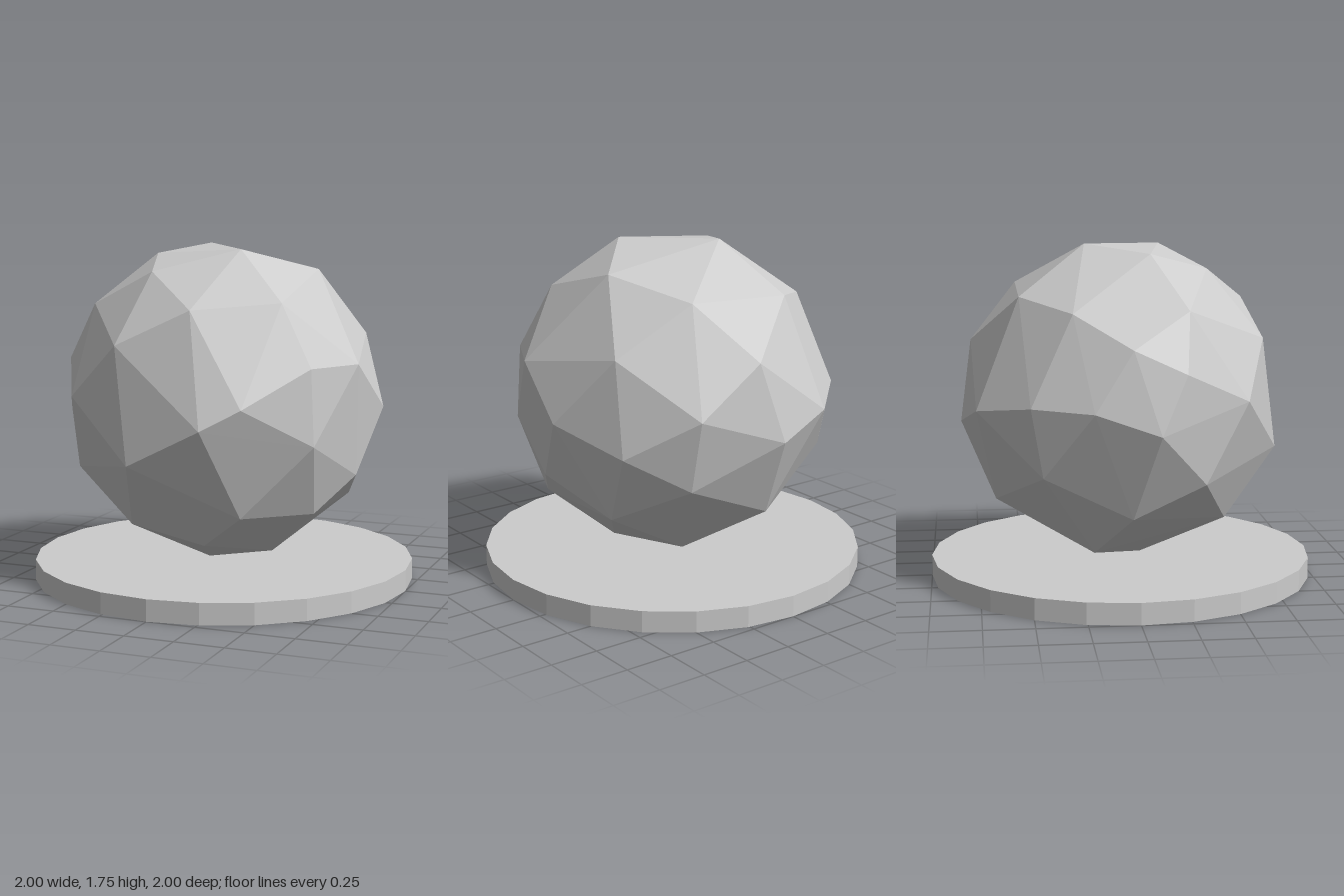
import * as THREE from 'three';
import { ConvexGeometry } from 'three/addons/geometries/ConvexGeometry.js';

// Corners of the faceted ball (x, y, z in hundredths), listed from the crown down
const CORNERS = [
  // crown
  18, 174, 22, -15, 175.5, -20, -32, 171, 12, 48, 163, -12, -22, 163, 42,
  // shoulder
  28, 153, -54, -30, 150, -54, 47, 149, 42, 8, 146, 65, -61, 145, 28, -60, 144, -29,
  // upper belt
  65, 128, -42, -77, 128, -1, -30, 128, 70, 5, 125, -78, 79, 118, 18, 64, 118, 47, -77, 116, 25,
  // middle belt
  38, 100, 74, 38, 100, -75, -60, 100, 58, -81, 98, -20, -67, 99, -50, -39, 94, -76,
  83, 93, -14, 20, 90, 83, -83.5, 87, 12, -7, 84, -83.5, 66, 80, 48, 66, 80, -49, -20, 70, 79,
  // lower belt
  38, 63, -67, -64, 64, -44, 75, 60, 7, -67, 60, 36,
  // underside
  60, 43, 29, 60, 43, -30, 32, 44, 59, -66, 43, 0, -10, 43, -66, -30, 35, 51,
  8, 26, 47, 18, 20, -33, -39, 20, -17, 31, 17.5, 10, -4, 11.5, 10,
];

export function createModel() {
  const group = new THREE.Group();
  const material = new THREE.MeshStandardMaterial({ color: 0xcccccc, flatShading: true });

  // Flat 24-sided disc
  const base = new THREE.Mesh(new THREE.CylinderGeometry(1, 1, 0.11, 24), material);
  base.name = 'base';
  base.position.y = 0.055;
  group.add(base);

  // Faceted ball: the convex skin around the corners
  const points = [];
  for (let i = 0; i < CORNERS.length; i += 3) {
    points.push(new THREE.Vector3().fromArray(CORNERS, i).multiplyScalar(0.01));
  }
  const ball = new THREE.Mesh(new ConvexGeometry(points), material);
  ball.name = 'facetedBall';
  group.add(ball);

  return group;
}
